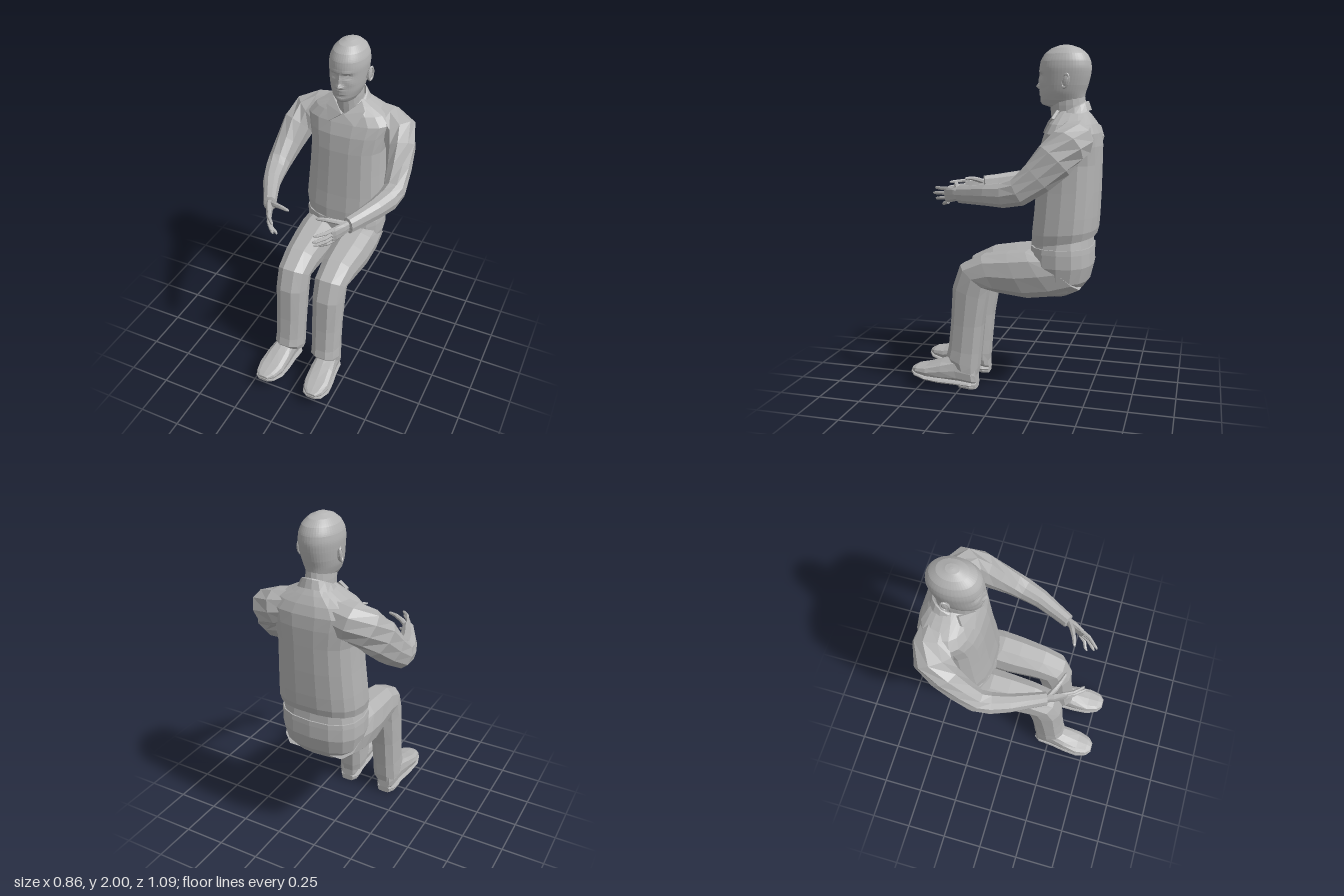
import * as THREE from 'three';
import { ConvexGeometry } from 'three/addons/geometries/ConvexGeometry.js';

const V = (x, y, z) => new THREE.Vector3(x, y, z);
const sPow = (a, e) => Math.sign(a) * Math.abs(a) ** e;

// Skin over cross-sections {c, u, v}; e < 1 makes the rings boxier.
function loft(sections, n = 10, e = 1, caps = true) {
  const pos = [], idx = [];
  for (const { c, u, v } of sections) {
    for (let j = 0; j < n; j++) {
      const a = (j / n) * Math.PI * 2;
      const p = c.clone().addScaledVector(u, sPow(Math.cos(a), e)).addScaledVector(v, sPow(Math.sin(a), e));
      pos.push(p.x, p.y, p.z);
    }
  }
  const rows = sections.length;
  for (let i = 0; i < rows - 1; i++) {
    for (let j = 0; j < n; j++) {
      const k = (j + 1) % n, a = i * n + j, b = i * n + k;
      idx.push(a, b, b + n, a, b + n, a + n);
    }
  }
  if (caps) {
    const first = sections[0].c, last = sections[rows - 1].c, m = rows * n;
    pos.push(first.x, first.y, first.z, last.x, last.y, last.z);
    for (let j = 0; j < n; j++) {
      const k = (j + 1) % n;
      idx.push(m, k, j, m + 1, (rows - 1) * n + j, (rows - 1) * n + k);
    }
  }
  const g = new THREE.BufferGeometry();
  g.setAttribute('position', new THREE.Float32BufferAttribute(pos, 3));
  g.setIndex(idx);
  return g;
}

// Horizontal ring: height, half width, front z, back z, rise towards the back
const level = ([y, w, zf, zb, rise = 0]) => ({ c: V(0, y, (zf + zb) / 2), u: V(w, 0, 0), v: V(0, rise, (zb - zf) / 2) });

// Ring spanned by an upper/front and a lower/back point (y, z), with centre x and half width
const span = ([fy, fz, by, bz, cx, w]) => ({
  c: V(cx, (fy + by) / 2, (fz + bz) / 2), u: V(w, 0, 0), v: V(0, (fy - by) / 2, (fz - bz) / 2),
});

// Rings square to a path; each stop is x, y, z, half thickness, half height
function limb(stops) {
  const pts = stops.map((s) => V(s[0], s[1], s[2]));
  return stops.map((s, i) => {
    const t = pts[Math.min(i + 1, pts.length - 1)].clone().sub(pts[Math.max(i - 1, 0)]).normalize();
    const u = V(0, 1, 0).cross(t).normalize();
    const v = t.clone().cross(u);
    return { c: pts[i], u: u.multiplyScalar(s[3]), v: v.multiplyScalar(s[4] ?? s[3]) };
  });
}

function mirrored(geo) {
  const g = geo.clone().scale(-1, 1, 1);
  const list = g.index ? g.index.array : g.attributes.position;
  if (g.index) {
    for (let i = 0; i < list.length; i += 3) [list[i + 1], list[i + 2]] = [list[i + 2], list[i + 1]];
  } else {
    for (let i = 0; i < list.count; i += 3) {
      const b = V().fromBufferAttribute(list, i + 1), c = V().fromBufferAttribute(list, i + 2);
      list.setXYZ(i + 1, c.x, c.y, c.z);
      list.setXYZ(i + 2, b.x, b.y, b.z);
    }
  }
  return g;
}

// Head: smoothed level rings, then soft bumps push the face in and out
function headGeometry() {
  const rows = [
    [1.655, 0.045, -0.26, -0.4], [1.672, 0.058, -0.205, -0.42], [1.7, 0.076, -0.19, -0.437],
    [1.74, 0.091, -0.187, -0.445], [1.78, 0.099, -0.187, -0.458], [1.83, 0.105, -0.186, -0.47],
    [1.87, 0.108, -0.184, -0.475], [1.91, 0.104, -0.19, -0.47], [1.95, 0.088, -0.212, -0.45],
    [1.98, 0.06, -0.25, -0.412], [1.996, 0.027, -0.295, -0.365], [2.0, 0.006, -0.325, -0.34],
  ];
  const shape = new THREE.CatmullRomCurve3(rows.map((r) => V(r[1], r[2], r[3])));
  const rings = [], fine = 5, total = (rows.length - 1) * fine;
  for (let i = 0; i <= total; i++) {
    const k = Math.min(Math.floor(i / fine), rows.length - 2);
    const y = THREE.MathUtils.lerp(rows[k][0], rows[k + 1][0], i / fine - k);
    const p = shape.getPoint(i / total);
    rings.push(level([y, p.x, p.y, p.z]));
  }
  const g = loft(rings, 48, 0.95);
  // x, y, spread x, spread y, push
  const bumps = [
    [0, 1.773, 0.015, 0.013, 0.022], [0, 1.805, 0.011, 0.028, 0.011],
    [0.04, 1.832, 0.02, 0.013, -0.013], [0.04, 1.83, 0.012, 0.006, 0.006],
    [0.038, 1.856, 0.03, 0.008, 0.004], [0.06, 1.79, 0.02, 0.02, 0.004],
    [0.018, 1.768, 0.008, 0.008, 0.007], [0, 1.745, 0.026, 0.006, 0.007],
    [0, 1.728, 0.022, 0.006, 0.006], [0, 1.712, 0.03, 0.006, -0.004], [0, 1.688, 0.025, 0.012, 0.005],
  ];
  const p = g.attributes.position;
  for (let i = 0; i < p.count; i++) {
    if (p.getZ(i) < -0.3) continue;
    let push = 0;
    for (const [x, y, sx, sy, a] of bumps) {
      push += a * Math.exp(-(((Math.abs(p.getX(i)) - x) / sx) ** 2) - ((p.getY(i) - y) / sy) ** 2);
    }
    p.setZ(i, p.getZ(i) + push);
  }
  return g;
}

export function createModel() {
  const model = new THREE.Group();
  const grey = new THREE.MeshStandardMaterial({ color: 0xb3b3b3 });
  grey.name = 'plain grey';

  const add = (name, geo) => {
    const flat = geo.index ? geo.toNonIndexed() : geo;
    flat.computeVertexNormals();
    const mesh = new THREE.Mesh(flat, grey);
    mesh.name = name;
    model.add(mesh);
  };
  const addPair = (name, geo) => {
    add('left ' + name, geo);
    add('right ' + name, mirrored(geo));
  };

  // Head and neck
  add('head', headGeometry());
  add('neck', loft([[1.54, 0.085, -0.26, -0.46], [1.62, 0.074, -0.25, -0.45], [1.67, 0.074, -0.245, -0.45],
    [1.73, 0.07, -0.25, -0.44]].map(level), 16));
  const ear = new THREE.SphereGeometry(1, 10, 8).scale(0.012, 0.038, 0.022);
  addPair('ear', ear.rotateX(-0.2).rotateY(-0.3).translate(0.11, 1.8, -0.348));
  const rim = new THREE.TorusGeometry(0.027, 0.006, 6, 14).scale(0.75, 1.35, 1);
  addPair('ear rim', rim.rotateY(Math.PI / 2 - 0.3).rotateX(-0.2).translate(0.117, 1.802, -0.35));

  // Sweater body, open hem dipping at the front
  add('sweater body', loft([
    [0.925, 0.228, -0.17, -0.505, 0.03], [0.917, 0.24, -0.155, -0.52, 0.028], [0.97, 0.25, -0.157, -0.53, 0.015],
    [1.06, 0.245, -0.168, -0.535], [1.2, 0.235, -0.178, -0.54], [1.35, 0.228, -0.188, -0.542],
    [1.45, 0.245, -0.203, -0.542], [1.52, 0.262, -0.228, -0.533], [1.57, 0.215, -0.252, -0.512],
    [1.61, 0.135, -0.275, -0.485], [1.64, 0.08, -0.3, -0.46],
  ].map(level), 18, 0.78));

  // Shirt collar: sloping band and two pointed flaps
  const band = (y, w, d) => ({ c: V(0, y, -0.362), u: V(w, 0, 0), v: V(0, 0.05, -d) });
  add('collar band', loft([band(1.595, 0.118, 0.118), band(1.64, 0.09, 0.102), band(1.645, 0.08, 0.096),
    band(1.6, 0.07, 0.085)], 18, 1, false));
  const flap = [V(0.088, 1.645, -0.3), V(0.008, 1.578, -0.235), V(0.084, 1.52, -0.222), V(0.118, 1.6, -0.275)];
  addPair('collar flap', new ConvexGeometry([...flap, ...flap.map((p) => p.clone().add(V(-0.004, -0.004, -0.015)))]));

  // Sleeves, bent at the elbow
  addPair('sleeve', loft(limb([
    [0.13, 1.5, -0.41, 0.1, 0.1], [0.21, 1.485, -0.415, 0.11, 0.102], [0.285, 1.455, -0.39, 0.108, 0.105],
    [0.325, 1.39, -0.335, 0.085, 0.11], [0.35, 1.3, -0.25, 0.073, 0.095], [0.366, 1.22, -0.15, 0.066, 0.078],
    [0.355, 1.2, -0.07, 0.062, 0.068], [0.325, 1.195, 0.03, 0.052, 0.06], [0.275, 1.185, 0.14, 0.042, 0.053],
    [0.24, 1.18, 0.215, 0.037, 0.05], [0.238, 1.18, 0.22, 0.026, 0.035],
  ]), 10, 0.9));

  // Hands with the palms turned inwards
  addPair('palm', loft(limb([[0.246, 1.18, 0.19, 0.022, 0.03], [0.225, 1.176, 0.25, 0.02, 0.04],
    [0.2, 1.168, 0.3, 0.015, 0.046], [0.188, 1.164, 0.318, 0.01, 0.042]]), 10, 0.8));
  const reach = [0.402, 0.415, 0.4, 0.36];
  reach.forEach((z, i) => {
    const y = 1.202 - i * 0.025, drop = 0.004 + i * 0.006, mid = (0.305 + z) / 2;
    addPair('finger ' + (i + 1), loft(limb([[0.198, y, 0.298, 0.011], [0.17, y - drop / 2, mid, 0.0105],
      [0.135, y - drop, z - 0.012, 0.009], [0.122, y - drop, z, 0.004]]), 7));
  });
  addPair('thumb', loft(limb([[0.228, 1.195, 0.225, 0.016], [0.185, 1.212, 0.25, 0.015], [0.135, 1.224, 0.272, 0.012],
    [0.093, 1.226, 0.285, 0.009], [0.082, 1.226, 0.289, 0.004]]), 7));

  // Trousers: seat, belt and legs
  add('trouser seat', loft([[0.595, 0.12, -0.24, -0.38], [0.63, 0.19, -0.2, -0.445], [0.69, 0.228, -0.17, -0.49],
    [0.78, 0.245, -0.155, -0.512], [0.86, 0.242, -0.16, -0.508], [0.94, 0.225, -0.175, -0.495]].map(level), 16, 0.8));
  add('belt', loft([[0.855, 0.238, -0.165, -0.5], [0.856, 0.247, -0.153, -0.513], [0.885, 0.243, -0.156, -0.51],
    [0.886, 0.23, -0.17, -0.5]].map(level), 16, 0.8, false));
  addPair('trouser leg', loft([
    [0.85, -0.22, 0.65, -0.46, 0.125, 0.112], [0.858, -0.14, 0.605, -0.32, 0.127, 0.118],
    [0.845, -0.03, 0.582, -0.16, 0.125, 0.115], [0.82, 0.12, 0.6, 0.02, 0.122, 0.102],
    [0.755, 0.25, 0.612, 0.08, 0.12, 0.094], [0.62, 0.298, 0.56, 0.088, 0.12, 0.092],
    [0.4, 0.312, 0.39, 0.118, 0.12, 0.088], [0.25, 0.328, 0.22, 0.135, 0.122, 0.086],
    [0.2, 0.34, 0.13, 0.142, 0.124, 0.088], [0.155, 0.31, 0.085, 0.15, 0.126, 0.084],
  ].map(span), 10, 0.82));

  // Shoes, toes tilted up, each with a sole and heel
  addPair('shoe', loft([
    [0.14, 0.158, 0.03, 0.153, 0.135, 0.04], [0.17, 0.19, 0.03, 0.17, 0.137, 0.062],
    [0.19, 0.29, 0.045, 0.26, 0.143, 0.066], [0.168, 0.36, 0.055, 0.36, 0.15, 0.076],
    [0.138, 0.45, 0.065, 0.45, 0.157, 0.08], [0.126, 0.515, 0.08, 0.515, 0.161, 0.062],
    [0.112, 0.545, 0.088, 0.545, 0.163, 0.03],
  ].map(span), 12, 0.7));
  addPair('sole', loft([
    [0.04, 0.153, 0.022, 0.153, 0.135, 0.042], [0.045, 0.19, 0.022, 0.19, 0.137, 0.066],
    [0.055, 0.28, 0.03, 0.28, 0.143, 0.07], [0.065, 0.37, 0.038, 0.37, 0.15, 0.08],
    [0.077, 0.46, 0.055, 0.46, 0.157, 0.084], [0.09, 0.525, 0.07, 0.525, 0.161, 0.062],
    [0.098, 0.55, 0.08, 0.55, 0.163, 0.03],
  ].map(span), 12, 0.5));
  addPair('shoe heel', loft([[0.04, 0.155, 0, 0.155, 0.135, 0.04], [0.04, 0.185, 0.003, 0.185, 0.137, 0.062],
    [0.045, 0.25, 0.014, 0.25, 0.141, 0.066]].map(span), 12, 0.5));

  return model;
}
